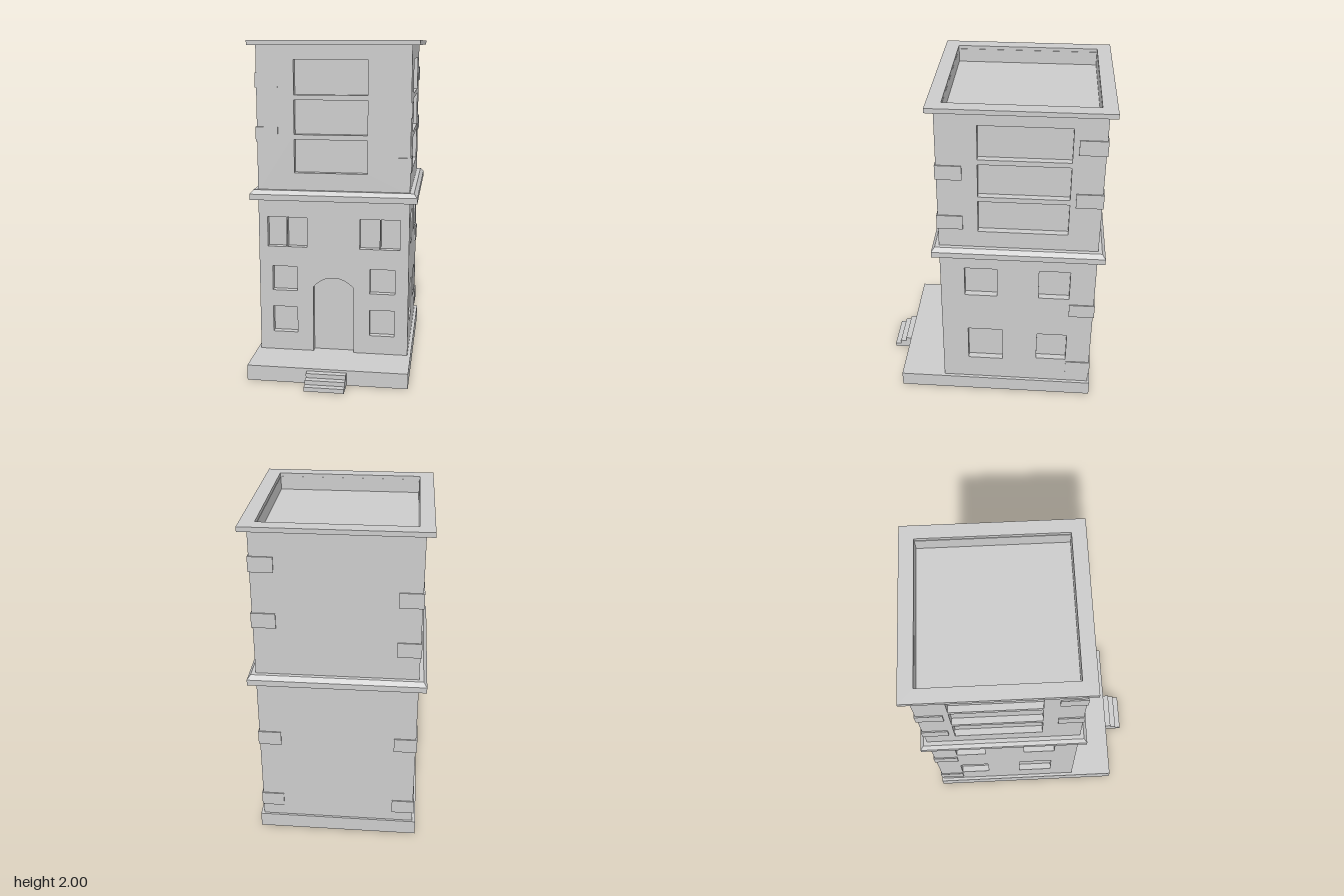
import * as THREE from 'three';

const grey = new THREE.MeshStandardMaterial({ color: 0xcccccc });
const HALF = 0.46, FRONT = 0.29, BACK = -0.635, WALL = 0.04;
const MID_Z = (FRONT + BACK) / 2;

export function createModel() {
  const root = new THREE.Group();

  const add = (name, geometry, parent = root) => {
    const mesh = new THREE.Mesh(geometry, grey);
    mesh.name = name;
    parent.add(mesh);
    return mesh;
  };
  // Box given by its limits on each axis
  const box = (name, x0, x1, y0, y1, z0, z1, parent) => {
    const mesh = add(name, new THREE.BoxGeometry(x1 - x0, y1 - y0, z1 - z0), parent);
    mesh.position.set((x0 + x1) / 2, (y0 + y1) / 2, (z0 + z1) / 2);
    return mesh;
  };
  const rect = (path, [x0, x1, y0, y1]) =>
    path.moveTo(x0, y0).lineTo(x1, y0).lineTo(x1, y1).lineTo(x0, y1).closePath();
  const hole = (r) => rect(new THREE.Path(), r);
  const extrude = (shape, depth) =>
    new THREE.ExtrudeGeometry(shape, { depth, bevelEnabled: false, curveSegments: 16 });

  // Wall panel with openings, outer face at local z = WALL
  const panel = (name, outline, holes) => {
    const shape = rect(new THREE.Shape(), outline);
    shape.holes.push(...holes);
    return add(name, extrude(shape, WALL));
  };

  // Arched doorway cut out of the front wall, open at its foot
  const door = new THREE.Path();
  door.moveTo(-0.125, 0.091).lineTo(0.125, 0.091).lineTo(0.125, 0.51);
  door.quadraticCurveTo(0.07, 0.57, 0, 0.57);
  door.quadraticCurveTo(-0.07, 0.57, -0.125, 0.51);
  door.closePath();

  // Openings of the lower front: paired windows above, single windows below
  const lowerFront = [door];
  for (const s of [-1, 1]) {
    for (const [a, b, y0, y1] of [
      [0.162, 0.283, 0.76, 0.945], [0.289, 0.405, 0.76, 0.945],
      [0.225, 0.378, 0.48, 0.635], [0.225, 0.378, 0.21, 0.375],
    ]) {
      lowerFront.push(hole(s > 0 ? [a, b, y0, y1] : [-b, -a, y0, y1]));
    }
  }
  const lowerSide = [
    [-0.05, 0.145, 0.755, 0.955], [-0.485, -0.30, 0.755, 0.955],
    [-0.085, 0.13, 0.25, 0.49], [-0.485, -0.30, 0.27, 0.47],
  ];
  const bands = [[1.22, 1.42], [1.45, 1.655], [1.685, 1.89]];
  const upperFront = bands.map(([y0, y1]) => hole([-0.235, 0.205, y0, y1]));
  const upperSide = bands.map(([y0, y1]) => [-0.455, 0.06, y0, y1]);

  // Each storey: a solid core faced with pierced walls
  for (const [storey, y0, y1, coreTop, frontHoles, sideHoles] of [
    ['lower', 0.09, 1.06, 1.06, lowerFront, lowerSide],
    ['upper', 1.10, 1.98, 1.90, upperFront, upperSide],
  ]) {
    box(storey + 'Core', -HALF + WALL, HALF - WALL, y0, coreTop, BACK + WALL, FRONT - WALL);
    panel(storey + 'FrontWall', [-HALF, HALF, y0, y1], frontHoles).position.z = FRONT - WALL;
    box(storey + 'BackWall', -HALF, HALF, y0, y1, BACK, BACK + WALL);
    for (const s of [-1, 1]) {
      // local x runs along -s * z
      const flip = ([a, b, c, d]) => (s > 0 ? [-b, -a, c, d] : [a, b, c, d]);
      const wall = panel(storey + (s > 0 ? 'LeftWall' : 'RightWall'),
        flip([BACK + WALL, FRONT - WALL, y0, y1]), sideHoles.map((r) => hole(flip(r))));
      wall.rotation.y = s * Math.PI / 2;
      wall.position.x = s * (HALF - WALL);
    }
  }

  // Ledge between the storeys, with chamfered upper edge
  const ledge = add('ledge', new THREE.BoxGeometry(1.01, 0.035, 1.01));
  ledge.position.set(0, 1.0725, MID_Z);
  const chamfer = new THREE.BoxGeometry(1.01, 0.025, 1.01);
  const p = chamfer.attributes.position;
  for (let i = 0; i < p.count; i++) {
    if (p.getY(i) > 0) p.setXYZ(i, p.getX(i) * 0.96, p.getY(i), p.getZ(i) * 0.96);
  }
  chamfer.computeVertexNormals();
  add('ledgeChamfer', chamfer).position.set(0, 1.1025, MID_Z);

  // Cornice frame around the sunken roof
  const frame = rect(new THREE.Shape(), [-0.505, 0.505, -0.505, 0.505]);
  frame.holes.push(hole([-0.423, 0.423, -0.423, 0.423]));
  const cornice = add('cornice', extrude(frame, 0.027));
  cornice.rotation.x = -Math.PI / 2;
  cornice.position.set(0, 1.973, MID_Z);

  // Corner stones wrapping the edges of the tower
  const stones = new THREE.Group();
  stones.name = 'cornerStones';
  root.add(stones);
  const out = 0.007;
  for (const [sx, sz, heights] of [
    [-1, 1, [1.77, 1.45]],
    [1, 1, [1.60, 1.278]],
    [1, -1, [1.78, 1.45, 0.67, 0.21]],
    [-1, -1, [1.60, 1.30, 0.66, 0.20]],
  ]) {
    for (const y of heights) {
      const x0 = sx > 0 ? 0.332 : -HALF - out;
      const z0 = sz > 0 ? 0.147 : BACK - out;
      const z1 = sz > 0 ? FRONT + out : -0.488;
      box('cornerStone', x0, x0 + HALF + out - 0.332, y - 0.044, y + 0.044, z0, z1, stones);
    }
  }

  // Base slab and entrance steps
  box('base', -0.48, 0.48, 0, 0.093, -0.648, 0.567);
  [[0.68, 0.026], [0.643, 0.052], [0.605, 0.078]].forEach(([z, y]) =>
    box('step', -0.118, 0.118, 0, y, 0.56, z));

  return root;
}
